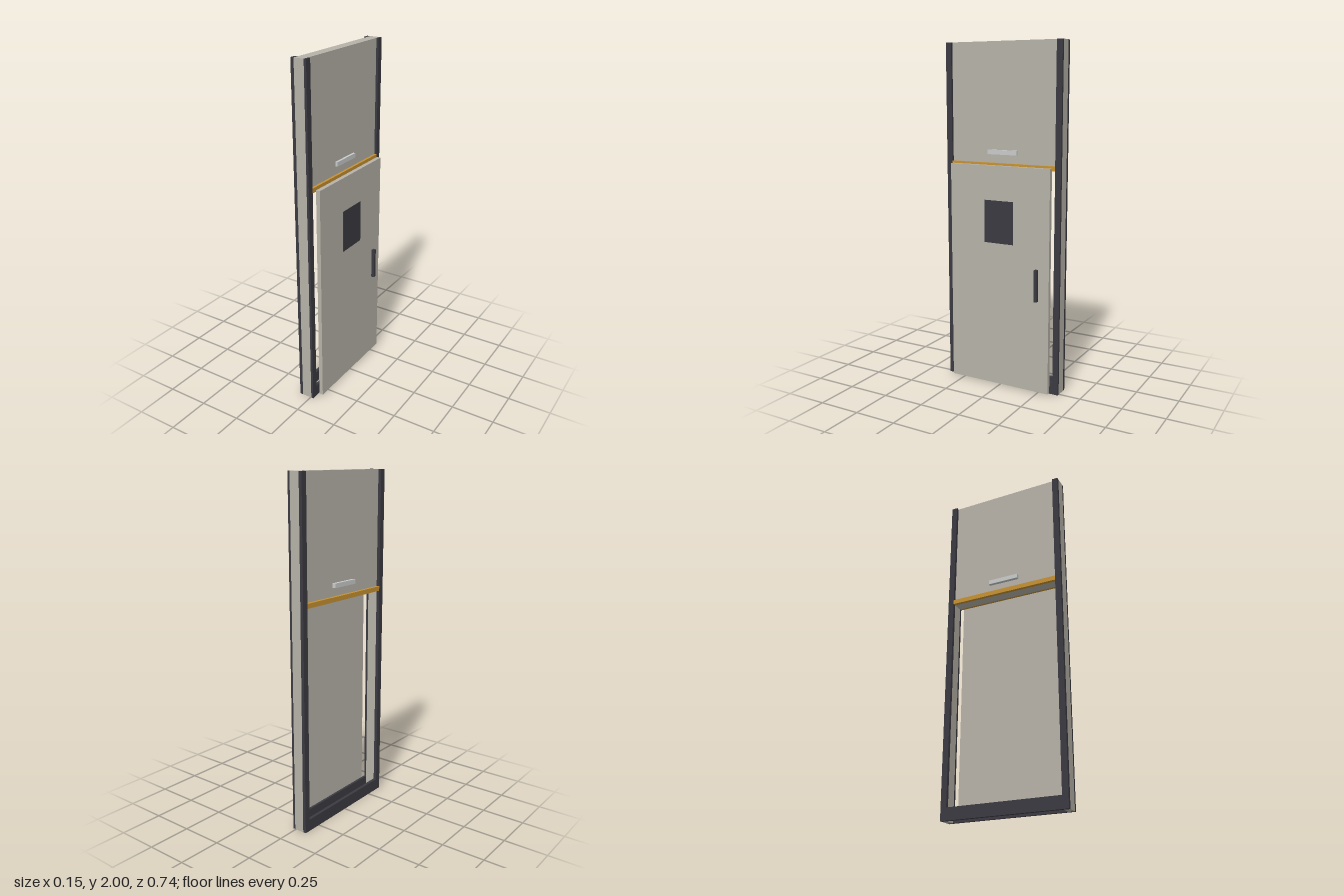
import * as THREE from 'three';

const material = (name, color) => {
  const m = new THREE.MeshStandardMaterial({ color });
  m.name = name;
  return m;
};

export function createModel() {
  const beige = material('warm grey paint', 0xb6b2a8);
  const dark = material('charcoal trim', 0x3b3a41);
  const amber = material('amber', 0xc69233);
  const pale = material('pale lamp', 0xc9caca);

  const model = new THREE.Group();
  model.name = 'doorway';

  // Box given by its lower and upper limits on each axis
  const box = (parent, name, mat, [x0, x1], [y0, y1], [z0, z1]) => {
    const mesh = new THREE.Mesh(new THREE.BoxGeometry(x1 - x0, y1 - y0, z1 - z0), mat);
    mesh.position.set((x0 + x1) / 2, (y0 + y1) / 2, (z0 + z1) / 2);
    mesh.name = name;
    parent.add(mesh);
    return mesh;
  };

  const core = [-0.055, 0.005];
  const outer = 0.368, inner = 0.333;
  const lintel = 1.296;

  // Wall core: two jambs and the panel over the opening
  const frame = new THREE.Group();
  frame.name = 'frame';
  model.add(frame);
  box(frame, 'leftJamb', beige, core, [0, 2], [inner, outer]);
  box(frame, 'rightJamb', beige, core, [0, 2], [-outer, -inner]);
  box(frame, 'upperPanel', beige, core, [lintel, 2], [-inner, inner]);

  // Trim, header strip and lamp on both faces
  const faces = { front: [0.005, 0.019], back: [-0.074, -0.055] };
  for (const [side, x] of Object.entries(faces)) {
    const trim = new THREE.Group();
    trim.name = side + 'Trim';
    model.add(trim);
    box(trim, 'leftPost', dark, x, [0, 2], [inner, outer]);
    box(trim, 'rightPost', dark, x, [0, 2], [-outer, -inner]);
    box(trim, 'bottomRail', dark, x, [0, 0.07], [-inner, inner]);
    box(trim, 'headerStrip', amber, x, [lintel, 1.323], [-inner, inner]);
    box(trim, 'lamp', pale, x, [1.372, 1.398], [-0.093, 0.093]);
  }

  // Sliding door with window and handle
  const door = new THREE.Group();
  door.name = 'door';
  model.add(door);
  box(door, 'doorLeaf', beige, [0.031, 0.055], [0.01, 1.312], [-0.32, 0.32]);
  box(door, 'doorWindow', dark, [0.055, 0.057], [0.865, 1.113], [-0.093, 0.093]);
  box(door, 'doorHandle', dark, [0.055, 0.074], [0.555, 0.741], [-0.253, -0.235]);

  return model;
}
